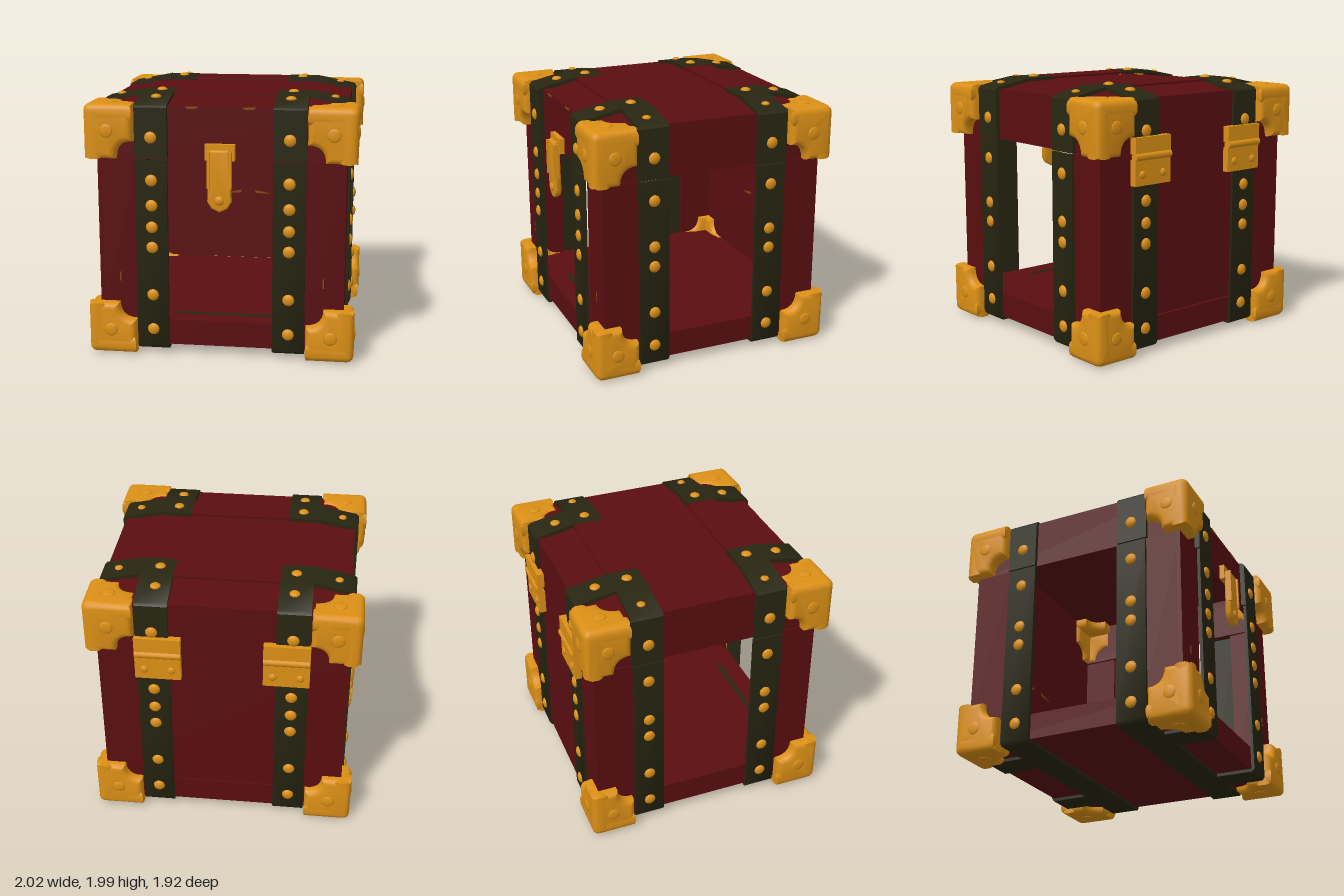
import * as THREE from 'three';
import { toCreasedNormals } from 'three/addons/utils/BufferGeometryUtils.js';

const mat = (name, color) => Object.assign(new THREE.MeshStandardMaterial({ color }), { name });

export function createModel() {
  const red = mat('dark red panel', 0x5a0e10);
  const gold = mat('gold metal', 0xdc9016);
  const dark = mat('dark strap', 0x282612);
  const worn = mat('worn brown', 0x84480c);
  const chest = new THREE.Group();
  chest.name = 'chest';

  const add = (name, geo, material) => {
    const m = new THREE.Mesh(geo, material);
    m.name = name;
    chest.add(m);
    return m;
  };

  // Box given by its minimum and maximum on each axis
  const box = (name, material, x0, x1, y0, y1, z0, z1) => {
    const m = add(name, new THREE.BoxGeometry(x1 - x0, y1 - y0, z1 - z0), material);
    m.position.set((x0 + x1) / 2, (y0 + y1) / 2, (z0 + z1) / 2);
    return m;
  };

  // Extrudes a shape along an axis (0 x, 1 y, 2 z); the shape lies in the next two axes
  const slab = (name, shape, axis, center, thickness, bevel, material) => {
    const geo = new THREE.ExtrudeGeometry(shape, {
      depth: thickness - 2 * bevel, curveSegments: 6, bevelEnabled: bevel > 0,
      bevelThickness: bevel, bevelSize: bevel, bevelOffset: -bevel, bevelSegments: 3,
    });
    geo.translate(0, 0, center - (thickness - 2 * bevel) / 2);
    const e = [new THREE.Vector3(1, 0, 0), new THREE.Vector3(0, 1, 0), new THREE.Vector3(0, 0, 1)];
    geo.applyMatrix4(new THREE.Matrix4().makeBasis(e[(axis + 1) % 3], e[(axis + 2) % 3], e[axis]));
    return add(name, toCreasedNormals(geo, 0.7), material);
  };

  // Domed stud facing along an axis
  const stud = (name, axis, x, y, z, r = 0.045, flat = 0.5) => {
    const m = add(name, new THREE.SphereGeometry(r, 10, 8), gold);
    m.position.set(x, y, z);
    m.scale.setComponent(axis, flat);
  };

  const polygon = (pts) => new THREE.Shape(pts.map(([u, v]) => new THREE.Vector2(u, v)));

  // Base tray, back panel and the hollow lid
  box('base', red, -0.91, 0.91, 0.06, 0.255, -0.88, 0.86);
  box('floorTrim', dark, -0.39, 0.39, 0.255, 0.26, 0.67, 0.71);
  box('backPanel', red, -0.92, 0.92, 0.265, 1.5, -0.88, -0.85);
  box('lidTop', red, -0.91, 0.91, 1.85, 1.89, -0.88, 0.86);
  box('lidFront', red, -0.91, 0.91, 1.5, 1.87, 0.82, 0.86);
  box('lidBack', red, -0.91, 0.91, 1.5, 1.87, -0.88, -0.84);
  for (const s of [-1, 1]) {
    box('lidSide', red, s * 0.89 - 0.02, s * 0.89 + 0.02, 1.5, 1.87, -0.86, 0.84);
    box('lidCrossStrip', red, -0.39, 0.39, 1.938, 1.955, s * 0.475 - 0.12, s * 0.475 + 0.12);
  }

  // Corner posts
  for (const sx of [-1, 1]) {
    box('frontPost', red, sx * 0.765 - 0.155, sx * 0.765 + 0.155, 0.25, 1.5, 0.83, 0.86);
    box('frontSidePost', red, sx * 0.905 - 0.015, sx * 0.905 + 0.015, 0.25, 1.5, 0.57, 0.86);
    box('backSidePost', red, sx * 0.905 - 0.015, sx * 0.905 + 0.015, 0.25, 1.5, -0.88, -0.57);
  }

  // Straps wrap the body and the lid in both directions
  const t = 0.025;
  for (const sx of [-1, 1]) {
    for (const sz of [-1, 1]) {
      // Across the width
      const wide = (pts) => polygon(pts.map(([h, y]) => [sx * h, y]));
      slab('sideStrapBody', wide([[0.94, 1.49], [0.94, 0.06], [0.92, 0.035], [0, 0.035], [0, 0.06],
        [0.94 - t, 0.06], [0.94 - t, 1.49]]), 2, sz * 0.47, 0.235, 0, dark);
      slab('sideStrapLid', wide([[0.94, 1.5], [0.94, 1.88], [0.92, 1.9], [0.63, 1.957], [0.39, 1.957],
        [0.39, 1.93], [0.63, 1.93], [0.91, 1.875], [0.91, 1.5]]), 2, sz * 0.475, 0.24, 0, dark);
      // Along the depth
      const deep = (pts) => polygon(pts.map(([h, y]) => [y, sz * h]));
      slab('endStrapBody', deep([[0.9, 1.49], [0.9, 0.06], [0.88, 0.035], [0.36, 0.035], [0.36, 0.06],
        [0.9 - t, 0.06], [0.9 - t, 1.49]]), 0, sx * 0.51, 0.24, 0, dark);
      slab('endStrapLid', deep([[0.9, 1.5], [0.9, 1.88], [0.88, 1.9], [0.6, 1.957], [0.36, 1.957],
        [0.36, 1.93], [0.6, 1.93], [0.86, 1.875], [0.86, 1.5]]), 0, sx * 0.51, 0.242, 0, dark);

      // Studs on the straps
      for (const y of [0.19, 0.46, 0.83, 0.985, 1.15, 1.34, 1.66]) {
        stud('endStud', 2, sx * 0.51, y, sz * 0.9);
        if (y !== 1.15) stud('sideStud', 0, sx * 0.94, y, sz * 0.47);
      }
      stud('lidStud', 1, sx * 0.5, 1.957, sz * 0.47, 0.04);
      stud('lidStud', 1, sx * 0.5, 1.935, sz * 0.71, 0.04);
      stud('lidStud', 1, sx * 0.81, 1.925, sz * 0.475, 0.032);
    }
  }

  // Corner caps: three rounded plates, each with a scooped inner corner
  const capShape = ([ui, uo], [vi, vo]) => {
    const su = Math.sign(uo - ui), sv = Math.sign(vo - vi), c = 0.13, r = 0.06;
    const s = new THREE.Shape();
    s.moveTo(ui, vo);
    s.lineTo(ui, vi + sv * c);
    s.quadraticCurveTo(ui + su * c, vi + sv * c, ui + su * c, vi);
    s.lineTo(uo, vi);
    s.lineTo(uo, vo - sv * r);
    s.quadraticCurveTo(uo, vo, uo - su * r, vo);
    return s;
  };
  for (const sx of [-1, 1]) for (const sz of [-1, 1]) for (const y of [[0.39, 0], [1.5, 1.905]]) {
    const range = [[sx * 0.64, sx], y, [sz * 0.61, sz * 0.95]];
    for (let a = 0; a < 3; a++) {
      const [inner, outer] = range[a];
      slab('cornerCap', capShape(range[(a + 1) % 3], range[(a + 2) % 3]), a,
        outer - Math.sign(outer - inner) * 0.07, 0.14, 0.045, gold);
      const p = range.map(([i, o]) => i + (o - i) * 0.52);
      p[a] = outer;
      stud('capBoss', a, ...p, 0.05, 0.2);
    }
  }

  // Front clasp
  box('claspPlate', gold, -0.11, 0.11, 1.5, 1.62, 0.86, 0.9);
  slab('claspTongue', polygon([[-0.07, 1.58], [-0.09, 1.2], [-0.06, 1.15], [0, 1.12], [0.06, 1.15],
    [0.09, 1.2], [0.07, 1.58]]), 2, 0.91, 0.05, 0.015, gold);
  for (const s of [-1, 1]) {
    box('claspRail', gold, s * 0.08 - 0.01, s * 0.08 + 0.01, 1.3, 1.57, 0.9, 0.945);
  }
  stud('claspStud', 2, 0, 1.21, 0.935, 0.035, 0.5);

  // Back hinges
  for (const s of [-1, 1]) {
    box('hingeUpperPlate', gold, s * 0.47 - 0.17, s * 0.47 + 0.17, 1.5, 1.62, -0.935, -0.88);
    box('hingeLowerPlate', gold, s * 0.47 - 0.17, s * 0.47 + 0.17, 1.27, 1.46, -0.93, -0.88);
    const pin = add('hingePin', new THREE.CylinderGeometry(0.03, 0.03, 0.34, 12), gold);
    pin.rotation.z = Math.PI / 2;
    pin.position.set(s * 0.47, 1.48, -0.92);
    for (const d of [-0.1, 0.1]) stud('hingeStud', 2, s * 0.47 + d, 1.35, -0.93, 0.03);
  }

  // Worn patches on the back panel and lid edge
  for (const s of [-1, 1]) {
    slab('wornPatch', polygon([[s * 0.06, 0.89], [s * 0.12, 0.88], [s * 0.2, 0.86], [s * 0.07, 0.865]]),
      2, -0.848, 0.008, 0, worn);
    slab('wornPatch', polygon([[s * 0.16, 1.888], [s * 0.26, 1.888], [s * 0.24, 1.87], [s * 0.18, 1.872]]),
      2, 0.86, 0.008, 0, worn);
    box('wornPatch', worn, s * 0.765 - 0.006, s * 0.765 + 0.006, 0.55, 0.62, 0.857, 0.863);
  }
  return chest;
}
